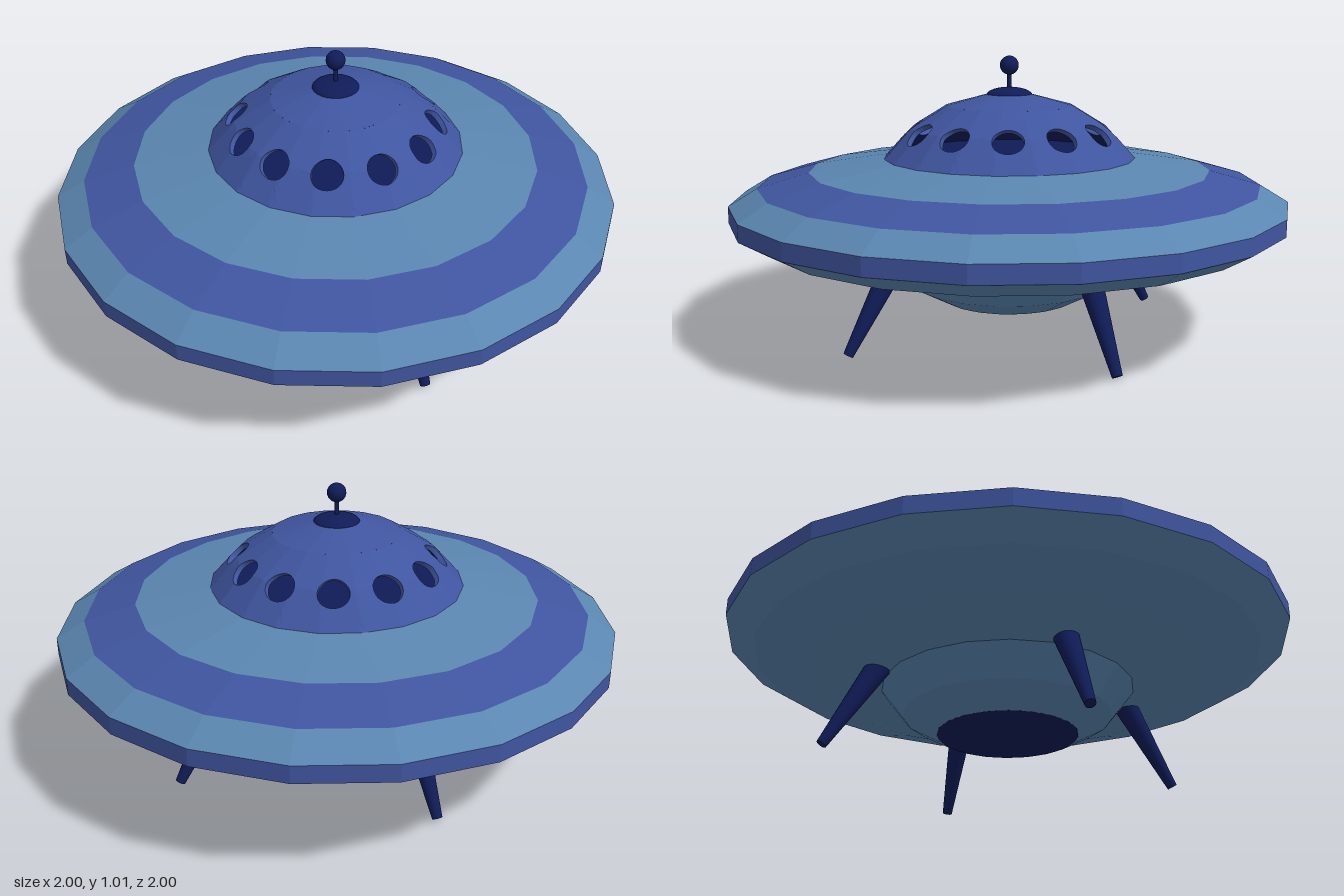
import * as THREE from 'three';
import { ParametricGeometry } from 'three/addons/geometries/ParametricGeometry.js';

const SIDES = 20;
const paint = (color, flatShading = true) =>
  new THREE.MeshStandardMaterial({ color, flatShading, side: THREE.DoubleSide });

export function createModel() {
  const model = new THREE.Group();
  const pale = paint(0x5a86b0), blue = paint(0x3f559f), navy = paint(0x101c58), navySmooth = paint(0x101c58, false);

  function add(name, geometry, material, parent = model) {
    const mesh = new THREE.Mesh(geometry, material);
    mesh.name = name;
    parent.add(mesh);
    return mesh;
  }
  const lathe = (name, pts, material, parent) =>
    add(name, new THREE.LatheGeometry(pts.map(p => new THREE.Vector2(...p)), SIDES), material, parent);

  // Saucer hull, built as coloured bands from bottom to top
  const hull = new THREE.Group();
  hull.name = 'hull';
  model.add(hull);
  lathe('lowerBowl', [[0.25, 0.125], [0.37, 0.19], [0.45, 0.29]], pale, hull);
  lathe('underside', [[0.45, 0.29], [0.7, 0.325], [0.9, 0.38], [1, 0.44]], pale, hull);
  lathe('rimBand', [[1, 0.44], [1, 0.5]], blue, hull);
  lathe('outerBand', [[1, 0.5], [0.9, 0.56]], pale, hull);
  lathe('stripe', [[0.9, 0.56], [0.72, 0.61]], blue, hull);
  lathe('innerBand', [[0.72, 0.61], [0.455, 0.65]], pale, hull);

  // Round hatch under the bowl
  const hatch = add('hatch', new THREE.CylinderGeometry(0.248, 0.248, 0.01, 40), navySmooth);
  hatch.position.y = 0.13;

  // Floor inside the dome
  const floor = add('domeFloor', new THREE.CylinderGeometry(0.45, 0.45, 0.01, SIDES), navy);
  floor.position.y = 0.648;

  // Dome: a faceted shell pierced by twelve round portholes
  const profile = [[0.455, 0.65], [0.36, 0.755], [0.23, 0.835], [0.08, 0.875]];
  const HOLES = 12, HOLE_RADIUS = 0.054, HOLE_S = 0.138, BAND_TOP = 0.2942;
  const sector = Math.PI / HOLES; // half the angle of one porthole sector

  // Point on the dome at an angle and a distance s up the profile
  function domePoint(angle, s, depth, target) {
    let i = 0, len;
    for (; ; i++) {
      len = Math.hypot(profile[i + 1][0] - profile[i][0], profile[i + 1][1] - profile[i][1]);
      if (s <= len || i === 1) break;
      s -= len;
    }
    const t = Math.min(s / len, 1), step = (Math.PI * 2) / SIDES;
    const local = angle - Math.floor(angle / step) * step - step / 2;
    const facet = Math.cos(step / 2) / Math.cos(local);
    const r = (THREE.MathUtils.lerp(profile[i][0], profile[i + 1][0], t) - depth) * facet;
    const y = THREE.MathUtils.lerp(profile[i][1], profile[i + 1][1], t) - depth * 0.8;
    target.set(r * Math.sin(angle), y, r * Math.cos(angle));
  }

  // Walk round a square of half size 1, t from 0 to 1
  function square(t) {
    const k = Math.floor(t * 4 + 1e-9) % 4, f = (t * 4 - Math.floor(t * 4 + 1e-9)) * 2 - 1;
    return [[f, -1], [1, f], [-f, 1], [-1, -f]][k];
  }

  // blend 0 is the sector's border, blend 1 is the porthole's edge
  function holePanel(centre, t, blend, depth, target) {
    const [a, b] = square(t), n = Math.hypot(a, b);
    const borderS = (b + 1) / 2 * BAND_TOP;
    const angle = THREE.MathUtils.lerp(a * sector, a / n * HOLE_RADIUS / 0.36, blend);
    const s = THREE.MathUtils.lerp(borderS, HOLE_S + b / n * HOLE_RADIUS, blend);
    domePoint(centre + angle, s, depth, target);
  }

  const dome = new THREE.Group();
  dome.name = 'dome';
  model.add(dome);
  const THICK = 0.015;
  for (let i = 0; i < HOLES; i++) {
    const c = i * sector * 2;
    add('domePanel', new ParametricGeometry((u, v, p) => holePanel(c, u, v, 0, p), 40, 6), blue, dome);
    add('domeLining', new ParametricGeometry((u, v, p) => holePanel(c, u, v, THICK, p), 40, 6), navy, dome);
    add('portholeRim', new ParametricGeometry((u, v, p) => holePanel(c, u, 1, v * THICK, p), 40, 1), blue, dome);
  }
  lathe('domeTop', [profile[2], profile[3], [0, 0.88]], blue, dome);

  // Cap, antenna and its ball
  const cap = add('antennaCap', new THREE.SphereGeometry(0.083, 24, 8, 0, Math.PI * 2, 0, Math.PI / 2), navySmooth);
  cap.scale.y = 0.35;
  cap.position.y = 0.871;
  add('antennaRod', new THREE.CylinderGeometry(0.008, 0.008, 0.08, 12), navySmooth).position.y = 0.925;
  add('antennaBall', new THREE.SphereGeometry(0.034, 20, 14), navySmooth).position.y = 0.978;

  // Four splayed, tapering legs, each set a little to one side
  const foot = new THREE.Vector3(0.033, 0.01, 0.652), top = new THREE.Vector3(0.033, 0.33, 0.465);
  for (let i = 0; i < 4; i++) {
    const leg = new THREE.Group();
    leg.name = 'leg';
    leg.rotation.y = i * Math.PI / 2;
    model.add(leg);
    const strut = add('legStrut', new THREE.CylinderGeometry(0.045, 0.018, foot.distanceTo(top), 20), navySmooth, leg);
    strut.position.copy(foot).add(top).multiplyScalar(0.5);
    strut.quaternion.setFromUnitVectors(new THREE.Vector3(0, 1, 0), top.clone().sub(foot).normalize());
  }
  return model;
}
